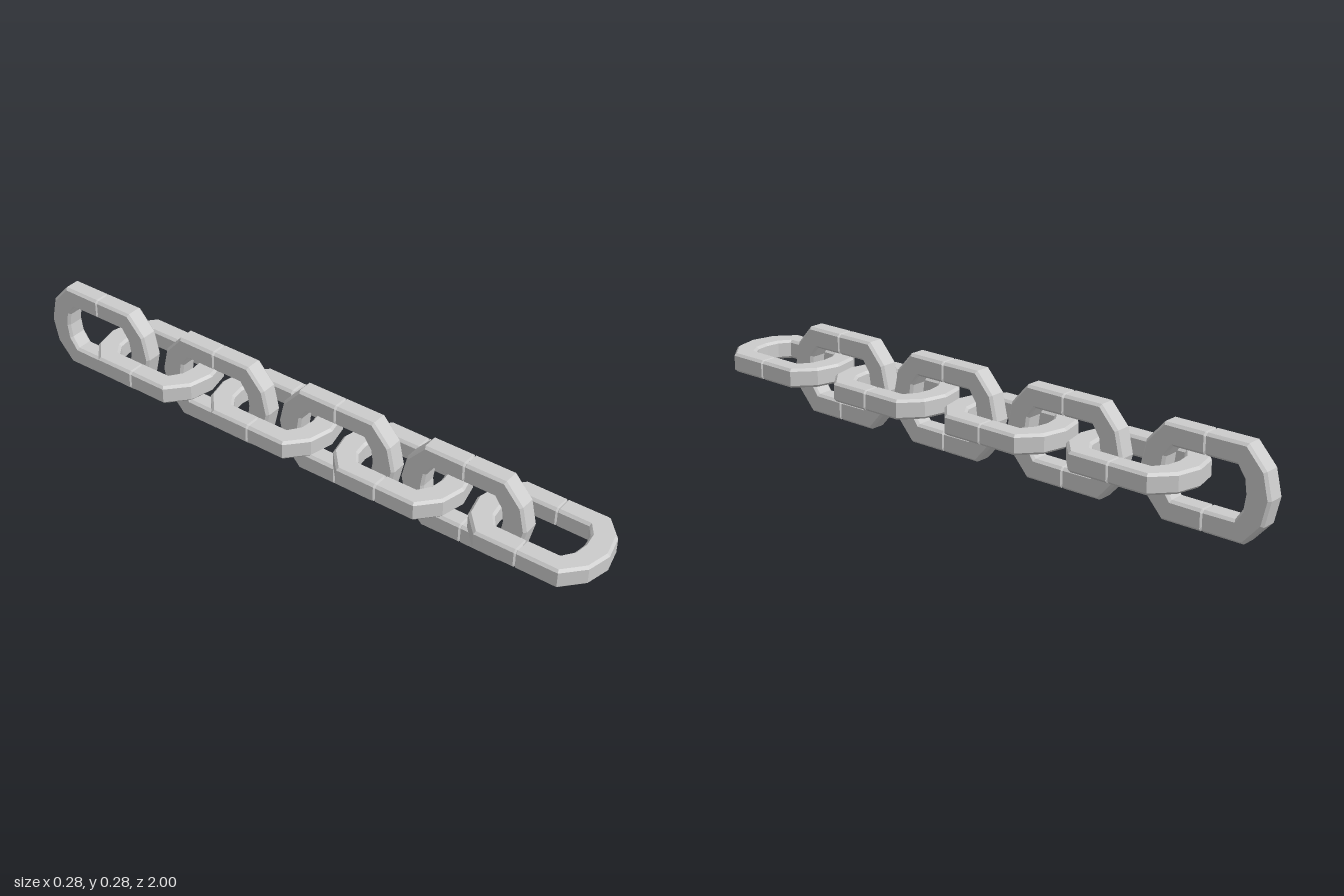
import * as THREE from 'three';

const MID_Y = 0.14;
const BEVEL = 0.008;

// Quarter of a link: outer x, outer z, inner x, inner z, half thickness.
// The first station is the shallow seam in the middle of the straight bar.
const QUARTER = [
  [0.134, 0, 0.082, 0, 0.025],
  [0.14, 0.004, 0.076, 0.004, 0.031],
  [0.14, 0.13, 0.076, 0.1, 0.031],
  [0.077, 0.187, 0.042, 0.123, 0.031],
  [0, 0.205, 0, 0.129, 0.031],
];

// Mirror the quarter into a closed loop of stations
function linkStations() {
  const out = [];
  const add = (i, sx, sz) => {
    const [ox, oz, ix, iz, h] = QUARTER[i];
    out.push([ox * sx, oz * sz, ix * sx, iz * sz, h]);
  };
  for (let i = 0; i <= 4; i++) add(i, 1, 1);
  for (let i = 3; i >= 0; i--) add(i, -1, 1);
  for (let i = 1; i <= 4; i++) add(i, -1, -1);
  for (let i = 3; i >= 1; i--) add(i, 1, -1);
  return out;
}

// Bevelled square section carried round the loop
function linkGeometry() {
  const stations = linkStations();
  const positions = [];
  const index = [];
  for (const [ox, oz, ix, iz, h] of stations) {
    const t = BEVEL / Math.hypot(ox - ix, oz - iz);
    const ring = [
      [0, -h + BEVEL], [0, h - BEVEL], [t, h], [1 - t, h],
      [1, h - BEVEL], [1, -h + BEVEL], [1 - t, -h], [t, -h],
    ];
    for (const [k, y] of ring) {
      positions.push(ox + (ix - ox) * k, y, oz + (iz - oz) * k);
    }
  }
  const n = stations.length;
  for (let s = 0; s < n; s++) {
    for (let i = 0; i < 8; i++) {
      const a = s * 8 + i;
      const b = s * 8 + (i + 1) % 8;
      const c = ((s + 1) % n) * 8 + (i + 1) % 8;
      const d = ((s + 1) % n) * 8 + i;
      index.push(a, b, c, a, c, d);
    }
  }
  const indexed = new THREE.BufferGeometry();
  indexed.setAttribute('position', new THREE.Float32BufferAttribute(positions, 3));
  indexed.setIndex(index);
  const geometry = indexed.toNonIndexed();
  geometry.computeVertexNormals();
  return geometry;
}

export function createModel() {
  const chain = new THREE.Group();
  chain.name = 'chain';
  const geometry = linkGeometry();
  const material = new THREE.MeshStandardMaterial({ color: 0xcccccc, flatShading: true });

  const addLink = (name, z, roll) => {
    const link = new THREE.Mesh(geometry, material);
    link.name = name;
    link.position.set(0, MID_Y, z);
    link.rotation.z = roll;
    chain.add(link);
  };

  // Flat and upright links alternate along the chain
  [0.794, 0.34, -0.112, -0.563].forEach((z, i) => addLink(`flatLink${i + 1}`, z, 0));
  [0.557, 0.124, -0.325, -0.794].forEach((z, i) => addLink(`uprightLink${i + 1}`, z, Math.PI / 2));

  return chain;
}
